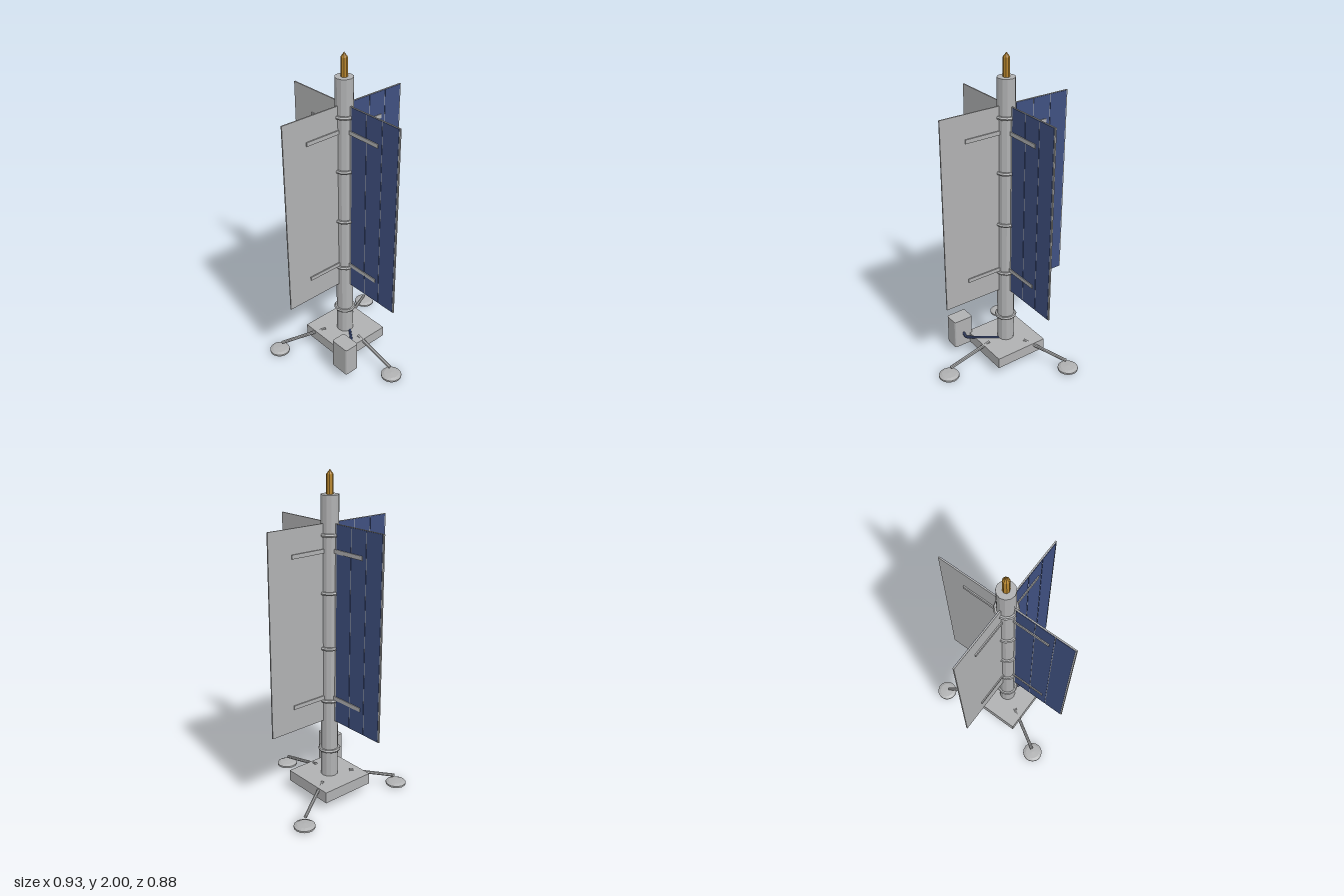
import * as THREE from 'three';

export function createModel() {
  const root = new THREE.Group();
  const mat = (name, color) => {
    const m = new THREE.MeshStandardMaterial({ color });
    m.name = name;
    return m;
  };
  const grey = mat('light grey metal', 0xb0b1b2);
  const blue = mat('solar blue', 0x3f5080);
  const gold = mat('gold tip', 0xb8862e);

  const add = (parent, name, geo, material, x = 0, y = 0, z = 0) => {
    const mesh = new THREE.Mesh(geo, material);
    mesh.name = name;
    mesh.position.set(x, y, z);
    parent.add(mesh);
    return mesh;
  };
  // Faceted version of a curved geometry
  const flat = (geo) => {
    const g = geo.toNonIndexed();
    g.computeVertexNormals();
    return g;
  };
  // Straight rod between two points
  const rod = (parent, name, a, b, radius, sides, material) => {
    const dir = b.clone().sub(a);
    const mesh = add(parent, name, flat(new THREE.CylinderGeometry(radius, radius, dir.length(), sides)), material);
    mesh.position.copy(a).add(b).multiplyScalar(0.5);
    mesh.quaternion.setFromUnitVectors(new THREE.Vector3(0, 1, 0), dir.normalize());
    return mesh;
  };
  const v = (x, y, z) => new THREE.Vector3(x, y, z);

  // Everything except the side box is arranged around the mast axis
  const tower = new THREE.Group();
  tower.name = 'tower';
  tower.position.x = -0.035;
  root.add(tower);

  // Base block and mast
  add(tower, 'base', new THREE.BoxGeometry(0.352, 0.07, 0.352), grey, 0, 0.105, 0);
  add(tower, 'mast', flat(new THREE.CylinderGeometry(0.053, 0.053, 1.755, 12)), grey, 0, 0.9875, 0);

  // Collars along the mast
  for (let i = 0; i < 5; i++) {
    const ring = add(tower, 'mastCollar', flat(new THREE.TorusGeometry(0.058, 0.011, 6, 12)), grey, 0, 0.313 + i * 0.333, 0);
    ring.rotation.x = Math.PI / 2;
  }

  // Pointed tip
  add(tower, 'tipRod', flat(new THREE.CylinderGeometry(0.02, 0.02, 0.11, 8)), gold, 0, 1.918, 0);
  add(tower, 'tipPoint', flat(new THREE.ConeGeometry(0.02, 0.027, 8)), gold, 0, 1.9865, 0);

  // Four solar wings, each with cells on one side and two brackets
  for (let i = 0; i < 4; i++) {
    const wing = new THREE.Group();
    wing.name = 'solarWing';
    wing.rotation.y = i * Math.PI / 2;
    tower.add(wing);
    add(wing, 'panel', new THREE.BoxGeometry(0.385, 1.195, 0.008), grey, 0.2375, 1.1125, 0);
    for (let c = 0; c < 3; c++) {
      add(wing, 'solarCells', new THREE.BoxGeometry(0.116, 1.19, 0.003), blue, 0.1225 + c * 0.1205, 1.1125, 0.0045);
    }
    for (const y of [0.667, 1.556]) {
      add(wing, 'bracket', new THREE.BoxGeometry(0.235, 0.024, 0.022), grey, 0.1575, y, 0);
    }
  }

  // Three legs with round foot pads
  const padProfile = [[0, 0.005], [0.045, 0.005], [0.064, 0.014], [0.064, 0.025], [0.045, 0.034], [0, 0.038]]
    .map(([r, y]) => new THREE.Vector2(r, y));
  for (let i = 0; i < 3; i++) {
    const leg = new THREE.Group();
    leg.name = 'leg';
    leg.rotation.y = i * Math.PI * 2 / 3;
    tower.add(leg);
    rod(leg, 'legStrut', v(0.128, 0.14, 0), v(0.42, 0.072, 0), 0.0105, 8, grey);
    add(leg, 'footPad', flat(new THREE.LatheGeometry(padProfile, 16)), grey, 0.433, 0, 0);
  }

  // Equipment box with rounded upright edges
  const w = 0.065, d = 0.048, r = 0.013;
  const s = new THREE.Shape();
  s.moveTo(-w + r, -d);
  s.lineTo(w - r, -d);
  s.quadraticCurveTo(w, -d, w, -d + r);
  s.lineTo(w, d - r);
  s.quadraticCurveTo(w, d, w - r, d);
  s.lineTo(-w + r, d);
  s.quadraticCurveTo(-w, d, -w, d - r);
  s.lineTo(-w, -d + r);
  s.quadraticCurveTo(-w, -d, -w + r, -d);
  const boxGeo = new THREE.ExtrudeGeometry(s, { depth: 0.195, bevelEnabled: false, curveSegments: 4 });
  boxGeo.rotateX(-Math.PI / 2);
  add(root, 'equipmentBox', boxGeo, grey, 0.187, 0.07, 0.198);

  // Cable from the mast to the box
  const path = new THREE.CurvePath();
  const points = [v(-0.01, 0.138, -0.015), v(0.1, 0.138, 0.065), v(0.186, 0.14, 0.128), v(0.189, 0.166, 0.158)];
  for (let i = 0; i < points.length - 1; i++) path.add(new THREE.LineCurve3(points[i], points[i + 1]));
  add(root, 'cable', flat(new THREE.TubeGeometry(path, 24, 0.009, 8)), blue);

  return root;
}
